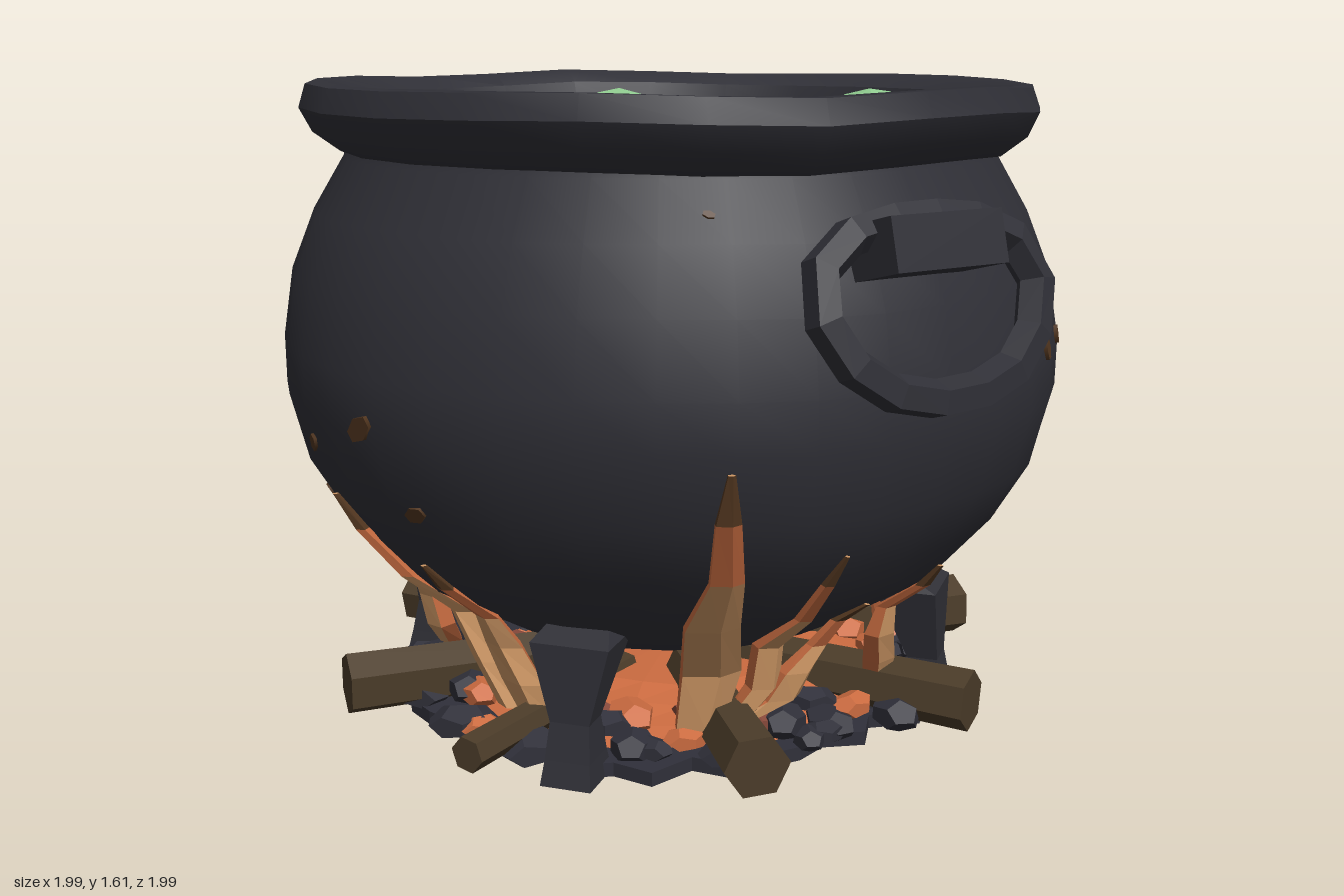
import * as THREE from 'three';
import { mergeVertices, toCreasedNormals } from 'three/addons/utils/BufferGeometryUtils.js';

const mat = (name, color) => Object.assign(new THREE.MeshStandardMaterial({ color }), { name });
const DEG = Math.PI / 180;

export function createModel() {
  const iron = mat('iron', 0x303037), brew = mat('brew', 0x508e4d), foam = mat('foam', 0x8fca8e);
  const wood = mat('wood', 0x4b3c29), coal = mat('coal', 0x30303a), ember = mat('ember', 0xcb6b40);
  const dullEmber = mat('dull ember', 0x86483a);
  const flame = mat('flame', 0xcf9865), flameEdge = mat('flame edge', 0xc66b40), scorch = mat('scorch', 0x533720);
  const model = new THREE.Group();
  let seed = 7;
  const rand = (a = 0, b = 1) => {
    seed = (seed * 16807) % 2147483647;
    return a + (b - a) * seed / 2147483647;
  };
  const add = (name, geo, material, parent = model) => {
    const mesh = new THREE.Mesh(geo, material);
    mesh.name = name;
    parent.add(mesh);
    return mesh;
  };
  const flat = (geo) => {
    const g = geo.index ? geo.toNonIndexed() : geo;
    g.computeVertexNormals();
    return g;
  };
  // Uneven surface: push vertices by a rule that depends only on position
  const wobble = (geo, amount, freq) => {
    const p = geo.attributes.position;
    for (let i = 0; i < p.count; i++) {
      const x = p.getX(i), y = p.getY(i), z = p.getZ(i);
      const k = 1 + amount * Math.sin(freq * x + 3 * y) * Math.cos(freq * z - 5 * y + 1);
      p.setXYZ(i, x * k, y + amount * 0.6 * Math.sin(freq * (x - z)) * Math.min(1, Math.hypot(x, z)), z * k);
    }
    return geo;
  };
  // Jagged flat outline
  const blob = (r, n, low, high, stretch = 1) => {
    const shape = new THREE.Shape();
    for (let i = 0; i < n; i++) {
      const a = i / n * 2 * Math.PI, q = r * rand(low, high);
      shape[i ? 'lineTo' : 'moveTo'](q * Math.cos(a) * stretch, q * Math.sin(a));
    }
    return shape;
  };
  const lathe = (points, sides) => {
    const g = new THREE.LatheGeometry(points.map(p => new THREE.Vector2(...p)), sides);
    g.deleteAttribute('uv');
    g.deleteAttribute('normal');
    return mergeVertices(g, 1e-4);
  };
  // Flat-sided loft through rings [azimuth in degrees, radius, y, half width, half depth]
  const loft = (rings, sides, phase, materialIndex = () => 0) => {
    const at = ([az, r, y, w, d], j) => {
      const a = az * DEG, f = (j / sides) * 2 * Math.PI + phase;
      const t = w * Math.sin(f), n = r + d * Math.cos(f);
      return [n * Math.sin(a) + t * Math.cos(a), y, n * Math.cos(a) - t * Math.sin(a)];
    };
    const pos = [], geo = new THREE.BufferGeometry();
    const tri = (m, ...pts) => {
      geo.addGroup(pos.length / 3, 3, m);
      pts.forEach(p => pos.push(...p));
    };
    const low = rings[0], top = rings[rings.length - 1];
    for (let j = 0; j < sides; j++) {
      for (let i = 0; i < rings.length - 1; i++) {
        const a = at(rings[i], j), b = at(rings[i], j + 1), c = at(rings[i + 1], j + 1), d = at(rings[i + 1], j);
        const m = materialIndex(i, j);
        tri(m, a, b, d);
        tri(m, b, c, d);
      }
      tri(0, at([...low.slice(0, 3), 0, 0], 0), at(low, j + 1), at(low, j));
      tri(0, at([...top.slice(0, 3), 0, 0], 0), at(top, j), at(top, j + 1));
    }
    geo.setAttribute('position', new THREE.Float32BufferAttribute(pos, 3));
    geo.computeVertexNormals();
    return geo;
  };

  // Pot body and thick rim
  const profile = [[0, 0.18], [0.3, 0.2], [0.52, 0.265], [0.74, 0.4], [0.86, 0.54], [0.95, 0.69],
    [0.995, 0.86], [0.995, 0.98], [0.965, 1.15], [0.905, 1.3], [0.83, 1.43], [0.82, 1.48]];
  const body = wobble(lathe(profile, 36), 0.005, 6);
  body.computeVertexNormals();
  add('potBody', body, iron);
  const rim = wobble(lathe([[0.8, 1.435], [0.84, 1.44], [0.905, 1.49], [0.935, 1.55], [0.915, 1.607], [0.86, 1.607],
    [0.81, 1.575], [0.775, 1.49], [0.76, 1.4]], 22), 0.012, 5);
  add('potRim', toCreasedNormals(rim, 0.6), iron);
  const potRadius = (y) => {
    const i = Math.max(1, profile.findIndex(p => p[1] >= y));
    const [r0, y0] = profile[i - 1], [r1, y1] = profile[i];
    return r0 + (r1 - r0) * (y - y0) / (y1 - y0);
  };

  // Two ring handles hanging from brackets
  for (const az of [45, 225]) {
    const handle = new THREE.Group();
    handle.name = 'handle';
    handle.rotation.y = az * DEG;
    const pts = [[-0.19, 0.17], [0.19, 0.17], [0.3, 0.08], [0.28, -0.04], [0.18, -0.14], [0, -0.18],
      [-0.18, -0.14], [-0.28, -0.04], [-0.3, 0.08]].map(([x, y]) => new THREE.Vector3(x + 0.015, 1.15 + y, 1.01 - y * 0.33));
    const ring = new THREE.TubeGeometry(new THREE.CatmullRomCurve3(pts, true), 14, 0.045, 5, true);
    add('handleRing', flat(ring), iron, handle);
    const bracket = add('handleBracket', new THREE.BoxGeometry(0.31, 0.12, 0.19), iron, handle);
    bracket.position.set(0.015, 1.285, 0.96);
    bracket.rotation.x = -0.25;
    model.add(handle);
  }

  // Four legs, pinched above the foot
  for (let k = 0; k < 4; k++) {
    const az = -7 + 90 * k;
    add('leg', loft([[az, 0.7, 0, 0.09, 0.1], [az, 0.7, 0.06, 0.08, 0.08], [az, 0.7, 0.15, 0.07, 0.055],
      [az, 0.66, 0.34, 0.14, 0.11], [az, 0.64, 0.37, 0.11, 0.05]], 4, Math.PI / 4), iron);
  }

  // Brew surface with foam patches and bubbles
  add('brewSurface', new THREE.CircleGeometry(0.775, 28).rotateX(-Math.PI / 2).translate(0, 1.45, 0), brew);
  const patch = (x, z, r, stretch = 1) => {
    const shape = blob(r, r > 0.1 ? 18 : 9, 0.9, 1.12, stretch);
    add('foamPatch', new THREE.ShapeGeometry(shape).rotateX(-Math.PI / 2).translate(x, 1.456, z), foam);
  };
  for (const [x, z, pr, br] of [[-0.23, -0.39, 0.21, 0.13], [0.27, -0.07, 0.135, 0.1], [-0.29, 0.17, 0.14, 0.1],
    [0.27, 0.27, 0.17, 0.1], [0.46, -0.5, 0.15, 0.13]]) {
    patch(x, z, pr);
    const bubble = wobble(new THREE.IcosahedronGeometry(br, 1), 0.2, 25);
    add('bubble', flat(bubble.scale(1, 0.9, 1)).rotateY(rand(0, 6)).translate(x, 1.457, z), foam);
  }
  for (const [x, z, r, s] of [[0.01, 0.04, 0.07, 1.4], [-0.14, 0.13, 0.08, 1.3], [0.33, 0.1, 0.06], [-0.5, -0.09, 0.06],
    [-0.5, -0.32, 0.04], [0.1, -0.59, 0.055], [-0.19, -0.13, 0.035, 1.3], [-0.33, -0.12, 0.035], [-0.3, 0.39, 0.03],
    [-0.23, 0.64, 0.04], [0.06, 0.67, 0.03], [0.22, 0.67, 0.03], [0.56, 0.19, 0.03], [-0.61, 0.08, 0.04], [0.48, 0.06, 0.025],
    [0.69, 0.12, 0.035], [0.04, -0.2, 0.045], [0.56, -0.4, 0.06], [-0.65, -0.35, 0.03]]) patch(x, z, r, s);
  // [azimuth, span, width] of the foam along the wall
  for (const [az, span, w] of [[-94, 34, 0.05], [-140, 22, 0.06], [55, 22, 0.05], [140, 30, 0.05], [85, 24, 0.02], [20, 20, 0.02], [-30, 24, 0.02]]) {
    const arc = new THREE.RingGeometry(0.77 - w, 0.77, 5, 1, (az - 90 - span / 2) * DEG, span * DEG);
    add('edgeFoam', arc.rotateX(-Math.PI / 2).translate(0, 1.456, 0), foam);
  }

  // Flat charcoal bed, glowing mound and loose lumps
  const bed = new THREE.ExtrudeGeometry(blob(0.7, 44, 0.84, 1.05), { depth: 0.035, bevelEnabled: false });
  add('charcoalBed', bed.rotateX(-Math.PI / 2), coal);
  add('emberMound', flat(wobble(new THREE.CylinderGeometry(0.35, 0.6, 0.07, 22, 3), 0.03, 12)).translate(0, 0.075, 0), ember);
  for (let k = 0; k < 72; k++) {
    const a = k * 2.39996, outer = k % 2 === 1;
    const [name, material] = k % 6 === 0 || k % 12 === 5 ? ['emberLump', ember] : k % 6 === 2 ? ['dullEmberLump', dullEmber] : ['coalLump', coal];
    const r = outer ? rand(0.6, 0.7) : rand(0.42, 0.62), s = rand(0.04, 0.075);
    const lump = new THREE.DodecahedronGeometry(s, 0).scale(1.3, 0.65, 0.95).rotateY(rand(0, 6));
    add(name, lump.translate(r * Math.sin(a), outer ? 0.052 : 0.08, r * Math.cos(a)), material);
  }

  // Logs pointing outward from the fire: [end x, end z, radius]
  for (const [x, z, r] of [[0.36, 0.76, 0.08], [0.82, 0.26, 0.078], [0.74, -0.49, 0.085], [-0.36, -0.76, 0.08],
    [-0.82, -0.25, 0.08], [-0.75, 0.47, 0.082], [-0.31, 0.83, 0.045]]) {
    const end = new THREE.Vector3(x, 0.095, z), start = new THREE.Vector3(x * 0.25, 0.1, z * 0.25);
    const dir = end.clone().sub(start);
    const log = add('log', flat(new THREE.CylinderGeometry(r, r * 0.9, dir.length(), 6)), wood);
    log.position.copy(start).add(end).multiplyScalar(0.5);
    log.quaternion.setFromUnitVectors(new THREE.Vector3(0, 1, 0), dir.normalize());
  }

  // Flames licking up the pot: [base azimuth, tip azimuth, tip height, half width]
  for (const [a0, a1, h, w] of [[19, 19, 0.83, 0.08], [-28, -45, 0.66, 0.05], [-20, -30, 0.52, 0.065], [27, 37, 0.6, 0.045],
    [26, 48, 0.42, 0.055], [74, 63, 0.48, 0.055], [110, 121, 0.52, 0.065], [137, 143, 0.56, 0.055], [156, 171, 0.52, 0.05],
    [193, 207, 0.6, 0.06], [212, 224, 0.48, 0.05], [249, 240, 0.62, 0.05], [282, 294, 0.5, 0.055]]) {
    const rings = [[0, 0.8], [0.2, 1], [0.42, 0.9], [0.62, 0.55], [0.84, 0.4], [1, 0.12]].map(([t, k], i) => {
      const y = 0.1 + (h - 0.1) * t;
      const r = Math.max(0.6 + 0.1 * t, potRadius(y) + 0.02);
      return [a0 + (a1 - a0) * Math.sqrt(t) + (i % 2 ? 1.2 : -1.2) * (1 - t), r, y, w * k, 0.035 * k + 0.004];
    });
    const paint = (i, j) => (i === 4 ? 2 : i === 3 || (j > 0 && j < 4) ? 1 : 0);
    add('flame', loft(rings, 5, 0.3, paint), [flame, flameEdge, scorch]);
  }

  // Small rusty spark marks on the pot
  for (const [az, y, s] of [[-33, 0.86, 0.05], [-26, 0.67, 0.04], [-50, 0.77, 0.03], [17, 1.36, 0.015], [77, 0.99, 0.03],
    [86, 1.0, 0.025], [84, 0.52, 0.03], [135, 1.21, 0.03], [128, 0.5, 0.03], [200, 0.8, 0.03], [250, 0.95, 0.025], [300, 0.6, 0.03]]) {
    const r = potRadius(y), spot = new THREE.Vector3(r * Math.sin(az * DEG), y, r * Math.cos(az * DEG));
    const slope = (potRadius(y + 0.03) - potRadius(y - 0.03)) / 0.06;
    const mark = add('sparkMark', new THREE.CylinderGeometry(s, s, 0.009, 6).scale(1, 1, 0.55), scorch);
    mark.position.copy(spot);
    mark.quaternion.setFromUnitVectors(new THREE.Vector3(0, 1, 0),
      new THREE.Vector3(spot.x / r, -slope, spot.z / r).normalize());
  }
  return model;
}
